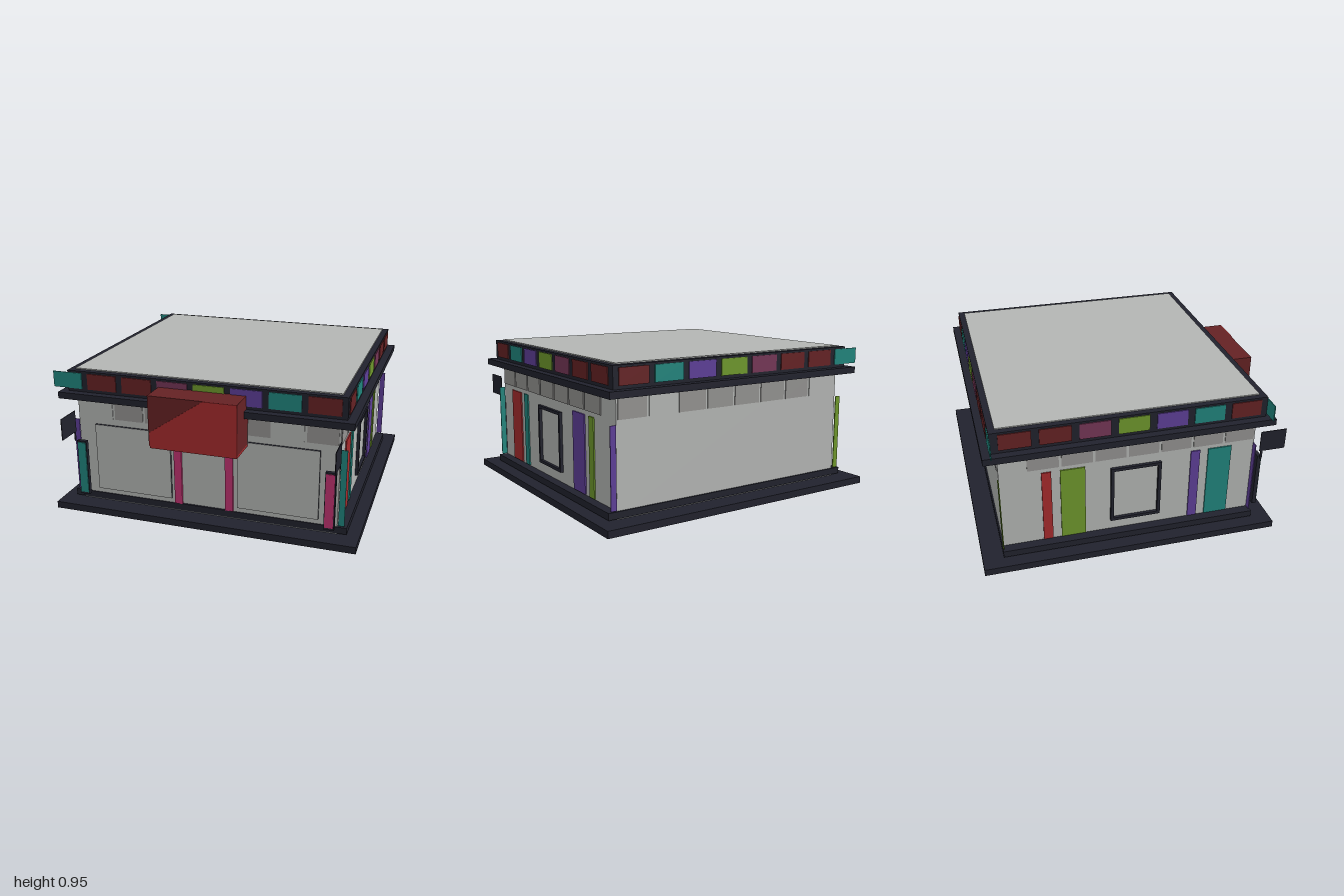
import * as THREE from 'three';

export function createModel() {
  const model = new THREE.Group();
  model.name = 'shopBuilding';
  const mat = (name, color) => {
    const m = new THREE.MeshStandardMaterial({ color });
    m.name = name;
    return m;
  };
  const wall = mat('wallGrey', 0xb4b6b4), panel = mat('panelGrey', 0x949391), navy = mat('darkNavy', 0x21222d),
    maroon = mat('maroon', 0x652224), red = mat('red', 0xa52b2d), teal = mat('teal', 0x21857d),
    purple = mat('purple', 0x5e3f98), green = mat('green', 0x6f982c), plum = mat('plum', 0x753656),
    pink = mat('pink', 0xc03370);

  // Box given by its low and high limits on each axis
  function box(name, m, x0, x1, y0, y1, z0, z1) {
    const mesh = new THREE.Mesh(new THREE.BoxGeometry(x1 - x0, y1 - y0, z1 - z0), m);
    mesh.position.set((x0 + x1) / 2, (y0 + y1) / 2, (z0 + z1) / 2);
    mesh.name = name;
    model.add(mesh);
    return mesh;
  }
  // Thin plate on a side wall; s is +1 or -1, d0..d1 the distance from the middle
  const sidePlate = (name, m, s, d0, d1, y0, y1, z0, z1) =>
    box(name, m, Math.min(s * d0, s * d1), Math.max(s * d0, s * d1), y0, y1, z0, z1);
  // Upright rectangular frame with an opening, facing +z, open at the bottom when b is 0
  function frame(name, m, w, h, t, b, depth) {
    const shape = new THREE.Shape();
    if (b > 0) {
      shape.moveTo(-w / 2, 0).lineTo(w / 2, 0).lineTo(w / 2, h).lineTo(-w / 2, h);
      const hole = new THREE.Path();
      hole.moveTo(-w / 2 + t, b).lineTo(-w / 2 + t, h - t).lineTo(w / 2 - t, h - t).lineTo(w / 2 - t, b);
      shape.holes.push(hole);
    } else {
      shape.moveTo(-w / 2, 0).lineTo(-w / 2 + t, 0).lineTo(-w / 2 + t, h - t).lineTo(w / 2 - t, h - t)
        .lineTo(w / 2 - t, 0).lineTo(w / 2, 0).lineTo(w / 2, h).lineTo(-w / 2, h);
    }
    const mesh = new THREE.Mesh(new THREE.ExtrudeGeometry(shape, { depth, bevelEnabled: false }), m);
    mesh.name = name;
    model.add(mesh);
    return mesh;
  }

  // Main masses
  box('baseSlab', navy, -1, 1, 0, 0.045, -1, 0.9);
  box('body', wall, -0.86, 0.86, 0.045, 0.95, -0.86, 0.77);
  box('plinth', navy, -0.92, 0.92, 0.052, 0.095, -0.87, 0.776);
  box('corniceLedge', navy, -0.95, 0.95, 0.765, 0.807, -0.95, 0.86);
  box('signBand', navy, -0.9, 0.9, 0.807, 0.943, -0.9, 0.81);

  // Coloured tiles around the sign band; the eighth one overhangs at the right corners
  const tiles = [maroon, teal, purple, green, plum, maroon, maroon, teal];
  tiles.forEach((m, i) => {
    const x = 0.865 - i * 0.238;
    box('frontTile', m, x - 0.198, x, 0.827, 0.93, 0.81, 0.816);
    box('backTile', m, x - 0.198, x, 0.827, 0.93, -0.906, -0.9);
    if (i === 7) return;
    const z = 0.77 - i * 0.238;
    for (const s of [1, -1]) sidePlate('sideTile', m, s, 0.9, 0.906, 0.827, 0.93, z - 0.192, z);
  });

  // Row of clerestory panels
  for (let i = 0; i < 8; i++) {
    const x = -0.81 + i * 0.2095, m = i === 0 || i === 6 ? wall : panel;
    box('frontPanel', m, x, x + 0.193, 0.627, 0.75, 0.77, 0.775);
    box('backPanel', m, x, x + 0.193, 0.627, 0.75, -0.865, -0.86);
    if (i === 7) continue;
    const z = 0.762 - i * 0.2095;
    for (const s of [1, -1]) sidePlate('sidePanel', panel, s, 0.86, 0.865, 0.627, 0.75, z - 0.193, z);
  }

  // Side walls: framed window and painted strips
  const strips = [[0.46, 0.615, red, teal], [0.345, 0.405, teal, purple],
    [-0.49, -0.335, purple, green], [-0.605, -0.545, green, red]];
  for (const s of [1, -1]) {
    for (const [z0, z1, a, b] of strips) sidePlate('wallStrip', s > 0 ? a : b, s, 0.86, 0.868, 0.1, 0.6, z0, z1);
    const f = frame('sideWindowFrame', navy, 0.325, 0.395, 0.02, 0.02, 0.02);
    f.rotation.y = s * Math.PI / 2;
    f.position.set(s * 0.86, 0.167, -0.012);
  }

  // Thin upright fins at the four corners
  for (const [s, z, m] of [[1, 0.765, teal], [-1, 0.765, purple], [1, -0.865, purple], [-1, -0.865, green]])
    sidePlate('cornerFin', m, s, 0.865, 0.903, 0.1, 0.6, z - 0.003, z + 0.003);

  // Front shop windows, dark-edged
  for (const s of [1, -1]) {
    sidePlate('shopWindowEdge', navy, s, 0.222, 0.742, 0.13, 0.583, 0.77, 0.783);
    sidePlate('shopWindowPane', wall, s, 0.222, 0.742, 0.13, 0.583, 0.783, 0.785);
  }

  // Doorway
  box('doorSill', navy, -0.17, 0.17, 0.09, 0.1, 0.77, 0.783);
  frame('doorFrame', pink, 0.393, 0.43, 0.051, 0, 0.014).position.set(-0.003, 0.1, 0.771);

  // Front poster boards and thin blade signs on the corners
  for (const s of [1, -1]) {
    sidePlate('posterBoard', navy, s, 0.787, 0.853, 0.1, 0.478, 0.812, 0.838);
    sidePlate('poster', s > 0 ? pink : teal, s, 0.792, 0.846, 0.115, 0.468, 0.838, 0.843);
    sidePlate('bladeSign', navy, s, 0.868, 0.873, 0.53, 0.672, 0.81, 0.983);
    sidePlate('bladeSignRod', navy, s, 0.868, 0.873, 0.47, 0.54, 0.818, 0.832);
  }

  // Entrance awning: dark box with a cut-corner bright face
  box('awning', maroon, -0.273, 0.29, 0.575, 0.892, 0.78, 0.985);
  box('awningUnderside', red, -0.265, 0.29, 0.56, 0.575, 0.78, 0.985);
  const face = new THREE.Shape();
  face.moveTo(-0.265, 0.56).lineTo(0.29, 0.56).lineTo(0.29, 0.892).lineTo(0.08, 0.892).lineTo(-0.265, 0.66);
  const faceMesh = new THREE.Mesh(new THREE.ExtrudeGeometry(face, { depth: 0.006, bevelEnabled: false }), red);
  faceMesh.position.z = 0.985;
  faceMesh.name = 'awningFace';
  model.add(faceMesh);

  return model;
}
